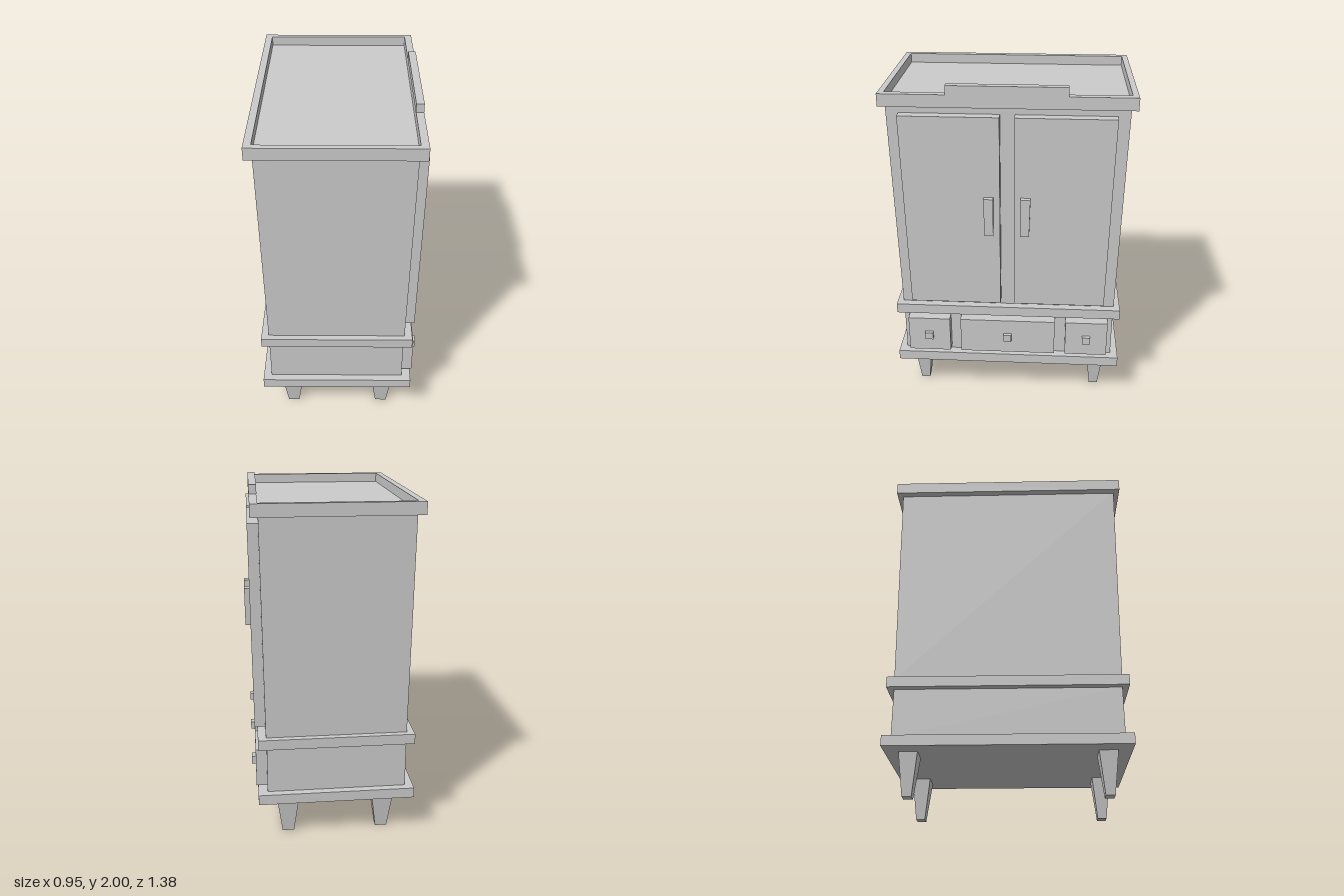
import * as THREE from 'three';

const material = new THREE.MeshStandardMaterial({ color: 0xcccccc, flatShading: true });

export function createModel() {
  const group = new THREE.Group();

  // Box from y0 to y1 whose bottom and top outlines [x0, x1, z0, z1] may differ
  function block(name, y0, y1, bottom, top = bottom) {
    const geo = new THREE.BoxGeometry(1, 1, 1);
    const p = geo.attributes.position;
    for (let i = 0; i < p.count; i++) {
      const upper = p.getY(i) > 0;
      const r = upper ? top : bottom;
      p.setXYZ(i, p.getX(i) > 0 ? r[1] : r[0], upper ? y1 : y0, p.getZ(i) > 0 ? r[3] : r[2]);
    }
    geo.computeVertexNormals();
    const mesh = new THREE.Mesh(geo, material);
    mesh.name = name;
    group.add(mesh);
  }

  // Same outline on the other side of z = 0
  const flip = (r) => [r[0], r[1], -r[3], -r[2]];
  function pair(name, y0, y1, bottom, top = bottom) {
    block(name + 'Left', y0, y1, bottom, top);
    block(name + 'Right', y0, y1, flip(bottom), flip(top));
  }

  // Tapered legs
  pair('rearLeg', 0, 0.24, [-0.335, -0.267, 0.518, 0.57], [-0.367, -0.235, 0.492, 0.597]);
  pair('frontLeg', 0, 0.24, [0.22, 0.288, 0.518, 0.57], [0.188, 0.32, 0.492, 0.597]);

  // Carcass and ledges
  block('basePlate', 0.24, 0.3, [-0.472, 0.425, -0.676, 0.676]);
  block('drawerCase', 0.3, 0.58, [-0.425, 0.372, -0.633, 0.633]);
  block('middleLedge', 0.58, 0.64, [-0.467, 0.42, -0.67, 0.67]);
  block('cabinetBody', 0.64, 1.895, [-0.425, 0.375, -0.635, 0.635], [-0.435, 0.388, -0.657, 0.657]);

  // Cornice frame around the sunken top
  const rect = (Type, x0, x1, z) => new Type([
    new THREE.Vector2(x0, -z), new THREE.Vector2(x1, -z),
    new THREE.Vector2(x1, z), new THREE.Vector2(x0, z),
  ]);
  const outline = rect(THREE.Shape, -0.475, 0.43, 0.69);
  outline.holes.push(rect(THREE.Path, -0.435, 0.388, 0.657));
  const rim = new THREE.ExtrudeGeometry(outline, { depth: 0.07, bevelEnabled: false });
  rim.rotateX(-Math.PI / 2);
  const cornice = new THREE.Mesh(rim, material);
  cornice.name = 'cornice';
  cornice.position.y = 1.88;
  group.add(cornice);
  block('crest', 1.95, 2, [0.387, 0.43, -0.325, 0.325]);

  // Doors lean outward with the body
  pair('door', 0.68, 1.835, [0.37, 0.435, 0.04, 0.57], [0.38, 0.445, 0.04, 0.587]);
  pair('doorHandle', 1.145, 1.372, [0.43, 0.47, 0.076, 0.125], [0.43, 0.472, 0.076, 0.131]);

  // Drawers and knobs
  block('middleDrawer', 0.327, 0.552, [0.365, 0.434, -0.285, 0.285]);
  pair('sideDrawer', 0.327, 0.552, [0.365, 0.434, 0.35, 0.602]);
  block('middleKnob', 0.415, 0.461, [0.43, 0.456, -0.024, 0.024]);
  pair('sideKnob', 0.415, 0.461, [0.43, 0.456, 0.453, 0.501]);

  return group;
}
